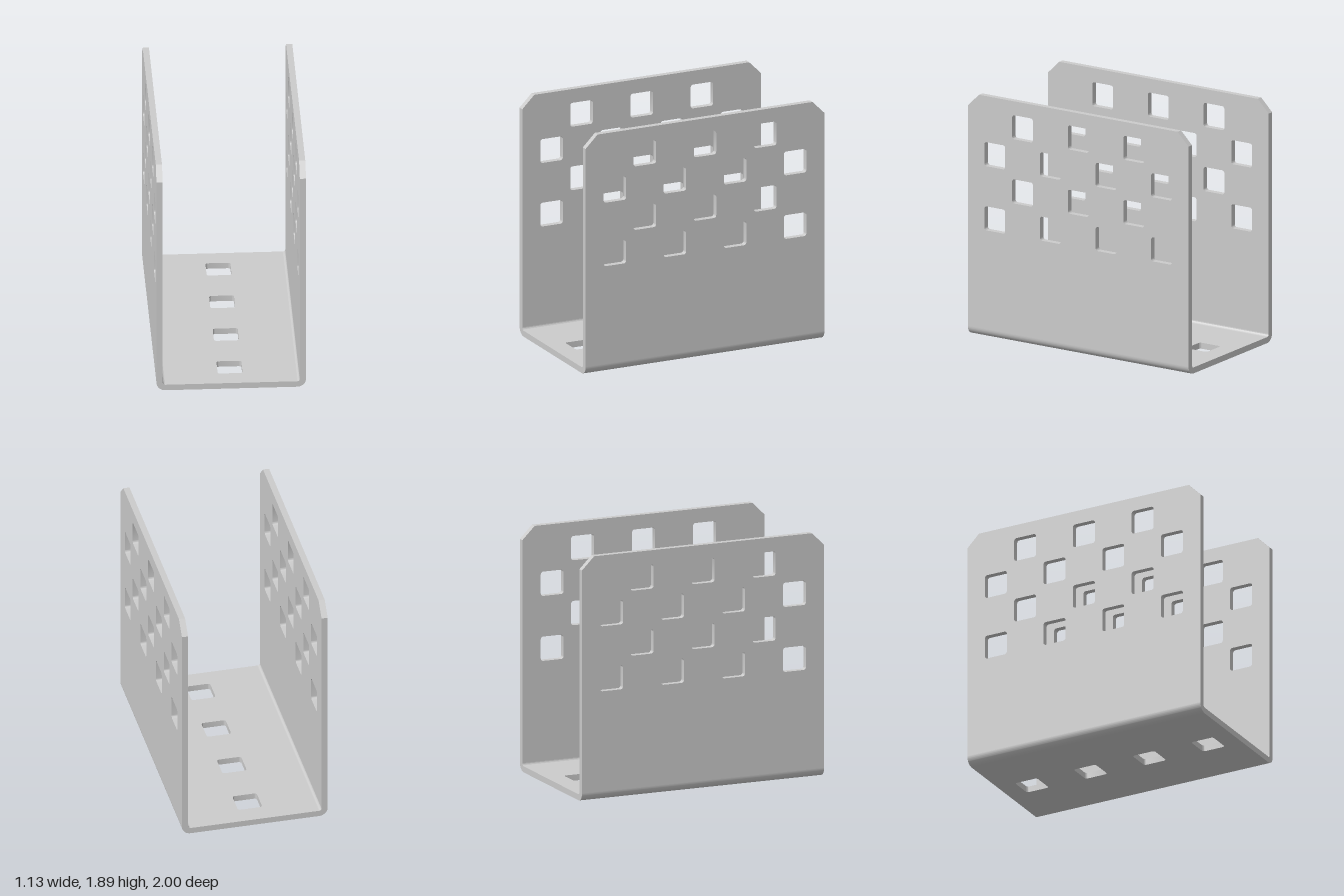
import * as THREE from 'three';
import { toCreasedNormals } from 'three/addons/utils/BufferGeometryUtils.js';

const HALF_W = 0.563, HEIGHT = 1.89, HALF_L = 1;
const T = 0.047;                       // sheet thickness
const R_IN = 0.02, R_OUT = R_IN + T;   // bend radii
const JOINT_X = HALF_W - R_OUT;        // where the floor meets the bend
const CHAMFER = 0.1, HOLE = 0.188, HOLE_R = 0.02;

const OUTER_COLUMNS = [-0.755, -0.252, 0.252, 0.755];
const INNER_COLUMNS = [-0.504, 0, 0.504];

const polygon = (points) => new THREE.Shape(points.map(([x, y]) => new THREE.Vector2(x, y)));

// Square hole with rounded corners
function squareHole(cx, cy) {
  const h = HOLE / 2, c = h - HOLE_R, p = new THREE.Path();
  p.moveTo(cx + h, cy - c);
  [[c, c], [-c, c], [-c, -c], [c, -c]].forEach(([x, y], i) =>
    p.absarc(cx + x, cy + y, HOLE_R, i * Math.PI / 2, (i + 1) * Math.PI / 2, false));
  return p;
}

function extrude(shape, depth, curveSegments) {
  return new THREE.ExtrudeGeometry(shape, { depth, bevelEnabled: false, curveSegments });
}

// Remove the hidden faces lying on a joint plane, then smooth the curved edges
function finish(geometry, joints) {
  const p = geometry.attributes.position, kept = [];
  for (let i = 0; i < p.count; i += 3) {
    const hidden = joints.some(([axis, value]) => [i, i + 1, i + 2].every(
      (v) => Math.abs(p.getComponent(v, axis) - value) < 1e-5));
    if (!hidden) for (let v = i; v < i + 3; v++) kept.push(p.getX(v), p.getY(v), p.getZ(v));
  }
  const g = new THREE.BufferGeometry();
  g.setAttribute('position', new THREE.Float32BufferAttribute(kept, 3));
  return toCreasedNormals(g, 0.5);
}

// Flat bottom with a single row of holes
function floorGeometry() {
  const s = polygon([[-JOINT_X, -HALF_L], [JOINT_X, -HALF_L], [JOINT_X, HALF_L], [-JOINT_X, HALF_L]]);
  OUTER_COLUMNS.forEach((z) => s.holes.push(squareHole(0, z)));
  return finish(extrude(s, T, 4).rotateX(-Math.PI / 2), [[0, JOINT_X], [0, -JOINT_X]]);
}

// Upright side with chamfered top corners and staggered holes
function wallGeometry() {
  const s = polygon([
    [-HALF_L, R_OUT], [HALF_L, R_OUT], [HALF_L, HEIGHT - CHAMFER],
    [HALF_L - CHAMFER, HEIGHT], [-HALF_L + CHAMFER, HEIGHT], [-HALF_L, HEIGHT - CHAMFER],
  ]);
  for (let row = 0; row < 4; row++) {
    const columns = row % 2 ? INNER_COLUMNS : OUTER_COLUMNS;
    columns.forEach((z) => s.holes.push(squareHole(z, 0.934 + row * 0.251)));
  }
  const g = extrude(s, T, 4).rotateY(Math.PI / 2).translate(HALF_W - T, 0, 0);
  return finish(g, [[1, R_OUT]]);
}

// Quarter-round bend between floor and wall
function bendGeometry() {
  const s = new THREE.Shape();
  s.absarc(JOINT_X, R_OUT, R_OUT, -Math.PI / 2, 0, false);
  s.absarc(JOINT_X, R_OUT, R_IN, 0, -Math.PI / 2, true);
  s.closePath();
  const g = extrude(s, 2 * HALF_L, 12).translate(0, 0, -HALF_L);
  return finish(g, [[0, JOINT_X], [1, R_OUT]]);
}

export function createModel() {
  const model = new THREE.Group();
  model.name = 'channelBracket';
  const material = new THREE.MeshStandardMaterial({ color: 0xcccccc });
  const add = (parent, name, geometry) => {
    const mesh = new THREE.Mesh(geometry, material);
    mesh.name = name;
    parent.add(mesh);
  };

  add(model, 'floor', floorGeometry());

  // The two sides are the same part, turned half a revolution
  const wall = wallGeometry(), bend = bendGeometry();
  ['left', 'right'].forEach((side, i) => {
    const group = new THREE.Group();
    group.name = side + 'Side';
    group.rotation.y = i * Math.PI;
    add(group, side + 'Wall', wall);
    add(group, side + 'Bend', bend);
    model.add(group);
  });
  return model;
}
